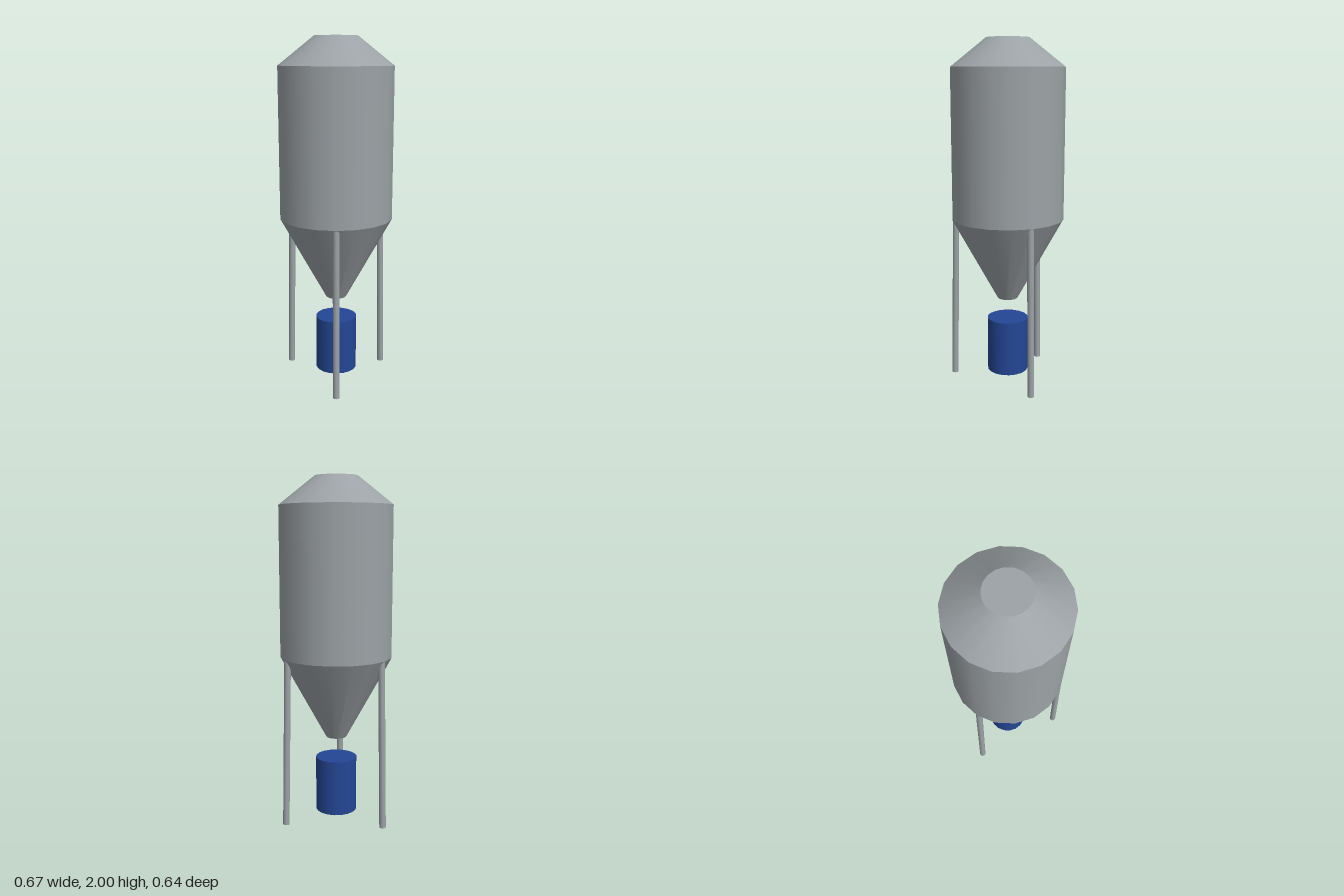
import * as THREE from 'three';

const SIDES = 18;

export function createModel() {
  const steel = new THREE.MeshStandardMaterial({ color: 0x9ca2a6 });
  steel.name = 'grey steel';
  const blue = new THREE.MeshStandardMaterial({ color: 0x234694 });
  blue.name = 'blue paint';

  const model = new THREE.Group();
  model.name = 'hopperSilo';

  // Everything is round about one axis, set slightly off so the three legs balance the bounds
  const axis = new THREE.Group();
  axis.name = 'siloAssembly';
  axis.position.x = -0.0115;
  model.add(axis);

  // Upright round section with smooth sides and a corner on the x axis
  function section(name, rTop, rBottom, y0, y1, material, open = false) {
    const geometry = new THREE.CylinderGeometry(
      rTop, rBottom, y1 - y0, SIDES, 1, open, Math.PI / 2);
    const mesh = new THREE.Mesh(geometry, material);
    mesh.name = name;
    mesh.position.y = (y0 + y1) / 2;
    return mesh;
  }

  // Flat disc closing one end of the tank
  function lid(name, radius, y, up) {
    const mesh = new THREE.Mesh(new THREE.CircleGeometry(radius, SIDES), steel);
    mesh.name = name;
    mesh.rotation.x = up ? -Math.PI / 2 : Math.PI / 2;
    mesh.position.y = y;
    return mesh;
  }

  // Tank: roof cone, straight wall, discharge hopper
  axis.add(
    lid('roofCap', 0.122, 2, true),
    section('roof', 0.122, 0.325, 1.84, 2, steel, true),
    section('tankWall', 0.325, 0.325, 0.98, 1.84, steel, true),
    section('hopper', 0.325, 0.06, 0.495, 0.98, steel, true),
    lid('hopperOutlet', 0.06, 0.495, false),
  );

  // Drum under the outlet
  axis.add(section('drum', 0.121, 0.121, 0.045, 0.37, blue));

  // Three legs, leaning in and ending inside the tank wall
  const foot = new THREE.Vector3(0.326, 0, 0);
  const head = new THREE.Vector3(0.305, 0.99, 0);
  const lean = head.clone().sub(foot);
  for (let i = 0; i < 3; i++) {
    const pivot = new THREE.Group();
    pivot.name = `leg${i + 1}`;
    pivot.rotation.y = (i * Math.PI * 2) / 3;
    const leg = new THREE.Mesh(
      new THREE.CylinderGeometry(0.019, 0.019, lean.length(), 12), steel);
    leg.name = 'legTube';
    leg.position.copy(foot).add(head).multiplyScalar(0.5);
    leg.quaternion.setFromUnitVectors(
      new THREE.Vector3(0, 1, 0), lean.clone().normalize());
    pivot.add(leg);
    axis.add(pivot);
  }

  return model;
}
